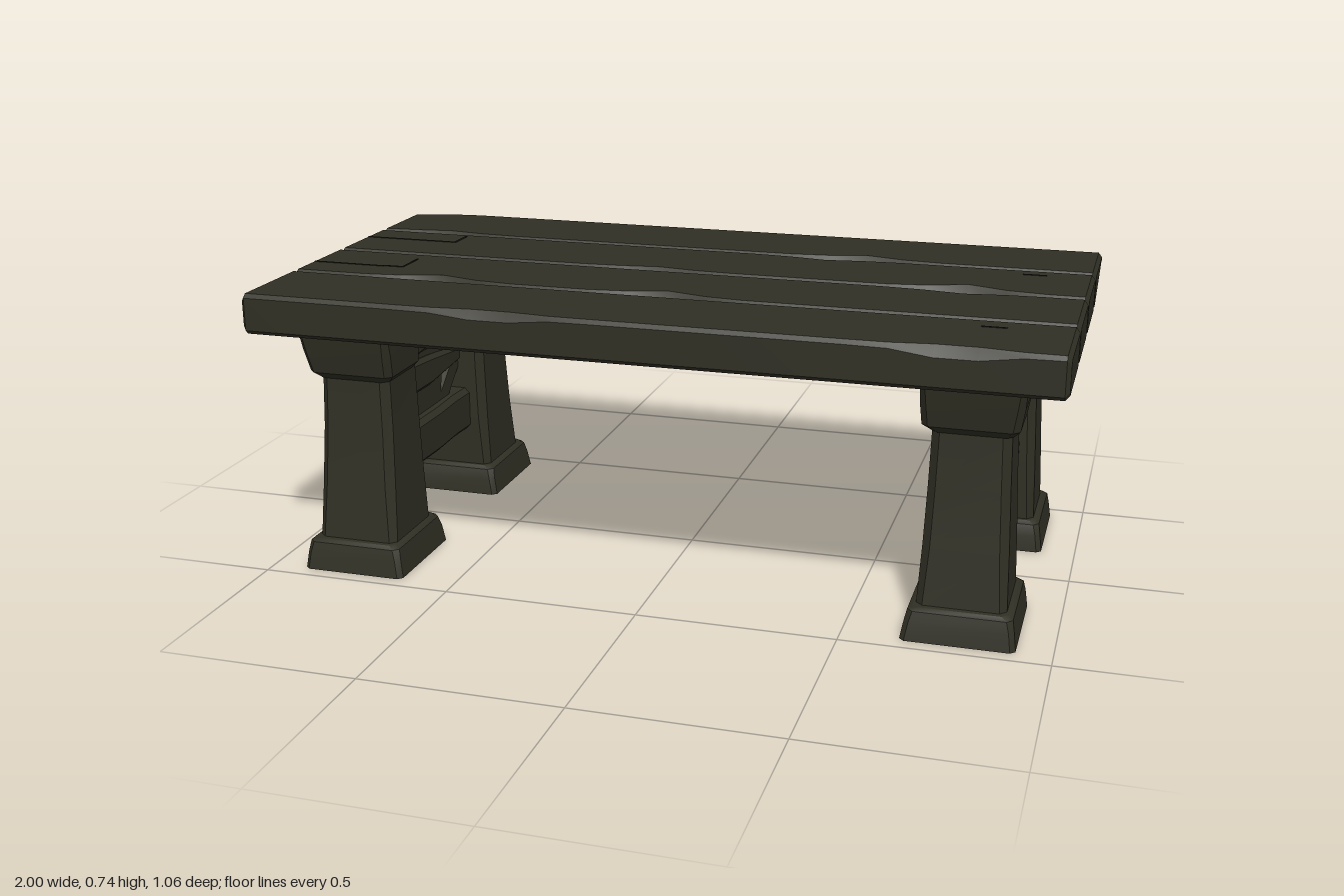
import * as THREE from 'three';
import { toCreasedNormals } from 'three/addons/utils/BufferGeometryUtils.js';

const wood = new THREE.MeshStandardMaterial({ color: 0x302f24 });
wood.name = 'dark weathered wood';
const crackWood = new THREE.MeshStandardMaterial({ color: 0x1b1a14 });
crackWood.name = 'crack shadow';

// Axis order (a, b, t): each cross-section lies in the a-b plane and is placed at t.
const AXES = { x: [1, 2, 0], y: [2, 0, 1], z: [0, 1, 2] };

// Beam lofted through chamfered rectangles: [t, a0, a1, b0, b1, chamfer or 4 chamfers]
function loft(axis, sections, rule) {
  const [ia, ib, it] = AXES[axis];
  const pos = [], index = [];
  const push = (a, b, t) => {
    const p = [0, 0, 0];
    p[ia] = a; p[ib] = b; p[it] = t;
    if (rule) rule(p);
    pos.push(...p);
  };
  for (const [t, a0, a1, b0, b1, ch = 0.012] of sections) {
    const [p, q, r, s] = Array.isArray(ch) ? ch : [ch, ch, ch, ch];
    [[a1, b0 + s], [a1, b1 - p], [a1 - p, b1], [a0 + q, b1],
      [a0, b1 - q], [a0, b0 + r], [a0 + r, b0], [a1 - s, b0]].forEach(([a, b]) => push(a, b, t));
  }
  const n = 8, last = (sections.length - 1) * n;
  for (let i = 0; i < last; i += n) {
    for (let j = 0; j < n; j++) {
      const k = (j + 1) % n;
      index.push(i + j, i + k, i + n + k, i + j, i + n + k, i + n + j);
    }
  }
  for (let j = 1; j < n - 1; j++) index.push(0, j + 1, j, last, last + j, last + j + 1);
  const g = new THREE.BufferGeometry();
  g.setAttribute('position', new THREE.Float32BufferAttribute(pos, 3));
  g.setIndex(index);
  return toCreasedNormals(g, 0.5);
}

function add(group, name, geometry, material = wood) {
  const mesh = new THREE.Mesh(geometry, material);
  mesh.name = name;
  group.add(mesh);
  return mesh;
}

// Tabletop plank; dents are worn spots on a top edge: [x, edge (0 = +z, 3 = -z), depth]
function plank(z0, z1, dents, rule) {
  const xs = [-1, -0.99];
  for (let x = -0.9; x < 0.95; x += 0.1) xs.push(x);
  xs.push(0.99, 1);
  return loft('x', xs.map((x) => {
    const e = Math.abs(x) === 1 ? 0.01 : 0;
    const ch = [0.01, 0.01, 0.01, 0.01];
    for (const [dx, edge, depth] of dents) ch[edge] += depth * Math.exp(-(((x - dx) / 0.09) ** 2));
    return [x, 0.64 + e, 0.742 - e, z0 + e, z1 - e, ch];
  }), rule);
}

// Leg section with signs applied: inner and outer limits in z and x
function legSection(sx, sz, y, zi, zo, xi, xo, c) {
  const z = [zi * sz, zo * sz].sort((p, q) => p - q);
  const x = [xi * sx, xo * sx].sort((p, q) => p - q);
  return [y, ...z, ...x, c];
}

function createLeg(sx, sz) {
  const leg = new THREE.Group();
  leg.name = `${sz > 0 ? 'front' : 'back'}${sx > 0 ? 'Left' : 'Right'}Leg`;
  const part = (name, rows) => add(leg, name, loft('y', rows.map((r) => legSection(sx, sz, ...r))));
  part('foot', [
    [0, 0.17, 0.463, 0.64, 0.913, 0.012],
    [0.045, 0.174, 0.456, 0.648, 0.907, 0.012],
    [0.072, 0.182, 0.45, 0.654, 0.902, 0.014],
    [0.08, 0.192, 0.44, 0.664, 0.892, 0.016],
  ]);
  part('shaft', [
    [0.07, 0.202, 0.427, 0.67, 0.885, 0.016],
    [0.22, 0.2, 0.411, 0.677, 0.88, 0.02],
    [0.37, 0.202, 0.397, 0.682, 0.874, 0.02],
    [0.52, 0.204, 0.392, 0.686, 0.87, 0.02],
  ]);
  part('capital', [
    [0.5, 0.225, 0.392, 0.685, 0.874, 0.016],
    [0.52, 0.23, 0.415, 0.664, 0.89, 0.016],
    [0.58, 0.23, 0.43, 0.66, 0.9, 0.016],
    [0.645, 0.228, 0.443, 0.66, 0.905, 0.012],
  ]);
  return leg;
}

// Cross beams joining the two legs at one end
function createEndFrame(sx) {
  const frame = new THREE.Group();
  frame.name = sx > 0 ? 'leftEndFrame' : 'rightEndFrame';
  const rail = (name, y0, y1, x0, x1, bow) => {
    const [a, b] = [x0 * sx, x1 * sx].sort((p, q) => p - q);
    add(frame, name, loft('z', [-0.26, -0.12, 0, 0.12, 0.26].map((z, i) => {
      const w = bow * [0, 1, 0.3, 0.8, 0][i];
      return [z, a + w, b - w, y0, y1, 0.014];
    })));
  };
  rail('topBeam', 0.505, 0.645, 0.69, 0.87, 0.012);
  rail('lowerStretcher', 0.185, 0.308, 0.72, 0.84, 0.006);

  // Wedge brace between beam and tabletop
  const reach = sx > 0 ? 0.55 : 0.61;
  const s = new THREE.Shape([
    new THREE.Vector2(sx * reach, 0.643),
    new THREE.Vector2(sx * 0.7, 0.643),
    new THREE.Vector2(sx * 0.7, 0.55),
  ]);
  const g = new THREE.ExtrudeGeometry(s, { depth: 0.2, bevelEnabled: false });
  g.translate(0, 0, -0.1);
  add(frame, 'wedgeBrace', g);
  return frame;
}

export function createModel() {
  const model = new THREE.Group();
  model.name = 'plankTable';

  // Back plank: one clipped corner, and an undercut at the other end
  const clipBack = (p) => {
    if (p[0] < -0.83 && p[2] < -0.4) p[2] += 0.04 * ((-0.83 - p[0]) / 0.17) ** 1.5;
    if (p[0] > 0.95 && p[2] < -0.45 && p[1] < 0.69) p[0] -= 0.07;
  };
  const top = new THREE.Group();
  top.name = 'tabletop';
  add(top, 'backPlank', plank(-0.53, -0.267, [[0.4, 0, 0.035], [-0.8, 0, 0.02]], clipBack));
  add(top, 'innerBackPlank', plank(-0.261, -0.004, [[0.7, 0, 0.05], [-0.1, 0, 0.02], [0.3, 3, 0.02]]));
  add(top, 'innerFrontPlank', plank(0.003, 0.258, [[-0.6, 0, 0.04], [0, 0, 0.04], [0.7, 3, 0.02]]));
  add(top, 'frontPlank', plank(0.264, 0.528, [[-0.35, 0, 0.015], [0.75, 0, 0.02]]));
  model.add(top);

  // Thin cracks across the plank ends: [x0, x1, z0, z1]
  for (const [x0, x1, z0, z1] of [
    [-0.99, -0.73, -0.16, -0.155], [-0.73, -0.724, -0.235, -0.155],
    [-0.99, -0.79, 0.155, 0.16], [-0.79, -0.74, 0.15, 0.156], [-0.742, -0.737, 0.06, 0.155],
    [0.82, 0.88, -0.212, -0.207], [0.78, 0.84, 0.325, 0.33],
  ]) {
    const g = new THREE.BoxGeometry(x1 - x0, 0.004, z1 - z0);
    g.translate((x0 + x1) / 2, 0.7415, (z0 + z1) / 2);
    add(top, 'crack', g, crackWood);
  }

  for (const sx of [1, -1]) {
    for (const sz of [1, -1]) model.add(createLeg(sx, sz));
    model.add(createEndFrame(sx));
  }

  // Extra bracing at the right end: middle rung, broad board and slanted strut
  add(model, 'middleRung', loft('z', [
    [-0.23, -0.82, -0.75, 0.385, 0.43], [0, -0.82, -0.74, 0.375, 0.46], [0.23, -0.82, -0.74, 0.38, 0.48],
  ]));
  add(model, 'broadBoard', loft('y', [
    [0.29, -0.08, 0.155, -0.805, -0.755, 0.008],
    [0.4, -0.1, 0.175, -0.805, -0.755, 0.008],
    [0.52, -0.13, 0.18, -0.805, -0.755, 0.008],
  ]));
  const strut = add(model, 'slantedStrut', new THREE.BoxGeometry(0.05, 0.05, 0.24));
  strut.position.set(-0.78, 0.34, -0.13);
  strut.rotation.x = 0.72;

  return model;
}
